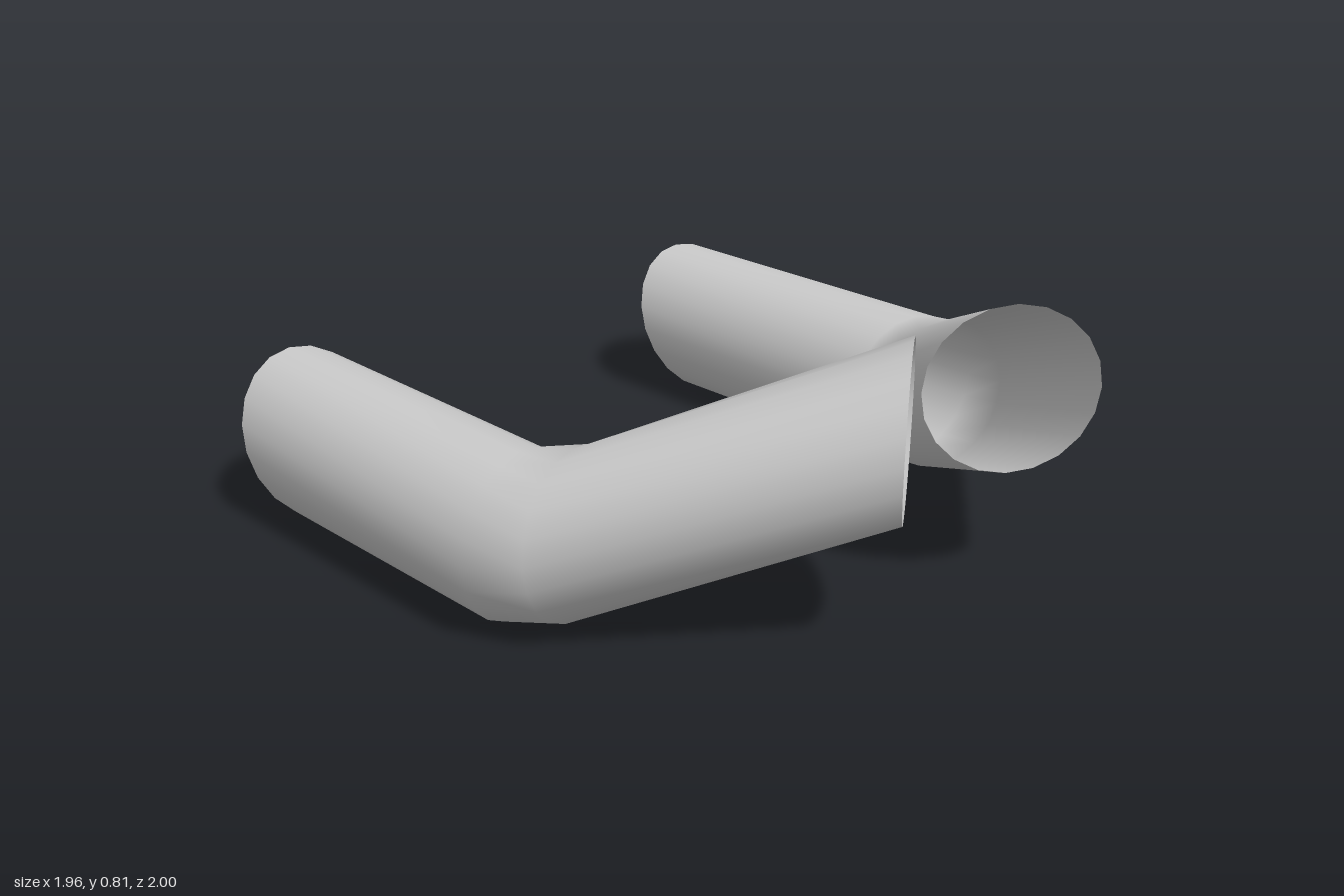
import * as THREE from 'three';

const SIDES = 20;

// Each section is an ellipse: centre c, sideways half-axis u, upward half-axis v
const SECTIONS = [
  { c: [0.197, 0.587, 0.853], u: [0.182, 0, 0.142], v: [0, 0.228, 0.005] }, // open front end
  { c: [0.698, 0.265, 0.217], u: [0.218, 0, 0.06], v: [0, 0.226, -0.01] },  // bend, front edge
  { c: [0.757, 0.229, 0.06], u: [0.218, 0, 0.05], v: [0, 0.229, 0.005] },   // bend, back edge
  { c: [0.755, 0.229, -0.9], u: [0.225, 0, 0.01], v: [0, 0.229, -0.1] },    // slanted back end
];

// Scaled copy of a section, moved along z
function inset(s, k, dz) {
  return {
    c: [s.c[0], s.c[1], s.c[2] + dz],
    u: s.u.map((n) => n * k),
    v: s.v.map((n) => n * k),
  };
}

// Skin through closed sections; side is 1 for left, -1 for right
function loft(sections, side) {
  const pos = [];
  const index = [];
  for (const { c, u, v } of sections) {
    for (let j = 0; j < SIDES; j++) {
      const a = (j / SIDES) * Math.PI * 2;
      const p = Math.cos(a);
      const q = Math.sin(a) * side;
      pos.push(
        side * (c[0] + p * u[0] + q * v[0]),
        c[1] + p * u[1] + q * v[1],
        c[2] + p * u[2] + q * v[2],
      );
    }
  }
  for (let i = 0; i < sections.length - 1; i++) {
    for (let j = 0; j < SIDES; j++) {
      const a = i * SIDES + j;
      const b = i * SIDES + ((j + 1) % SIDES);
      index.push(a, a + SIDES, b, b, a + SIDES, b + SIDES);
    }
  }
  const g = new THREE.BufferGeometry();
  g.setAttribute('position', new THREE.Float32BufferAttribute(pos, 3));
  g.setIndex(index);
  g.computeVertexNormals();
  return g;
}

// Flat end plate filling one section
function plate(section, side) {
  const ring = loft([section, inset(section, 0.001, 0)], side);
  return ring;
}

export function createModel() {
  const model = new THREE.Group();
  model.name = 'bentPipes';
  const grey = new THREE.MeshStandardMaterial({ color: 0xcccccc, side: THREE.DoubleSide });
  grey.name = 'pipeGrey';

  const end = SECTIONS[SECTIONS.length - 1];
  const lip = inset(end, 0.82, 0);
  const floor = inset(end, 0.82, 0.08);

  for (const side of [1, -1]) {
    const pipe = new THREE.Group();
    pipe.name = side > 0 ? 'leftPipe' : 'rightPipe';
    const add = (name, geometry) => {
      const mesh = new THREE.Mesh(geometry, grey);
      mesh.name = name;
      pipe.add(mesh);
    };
    add('outerWall', loft(SECTIONS, side));
    add('backRim', loft([end, lip], side));
    add('recessWall', loft([lip, floor], side));
    add('recessFloor', plate(floor, side));
    model.add(pipe);
  }
  return model;
}
